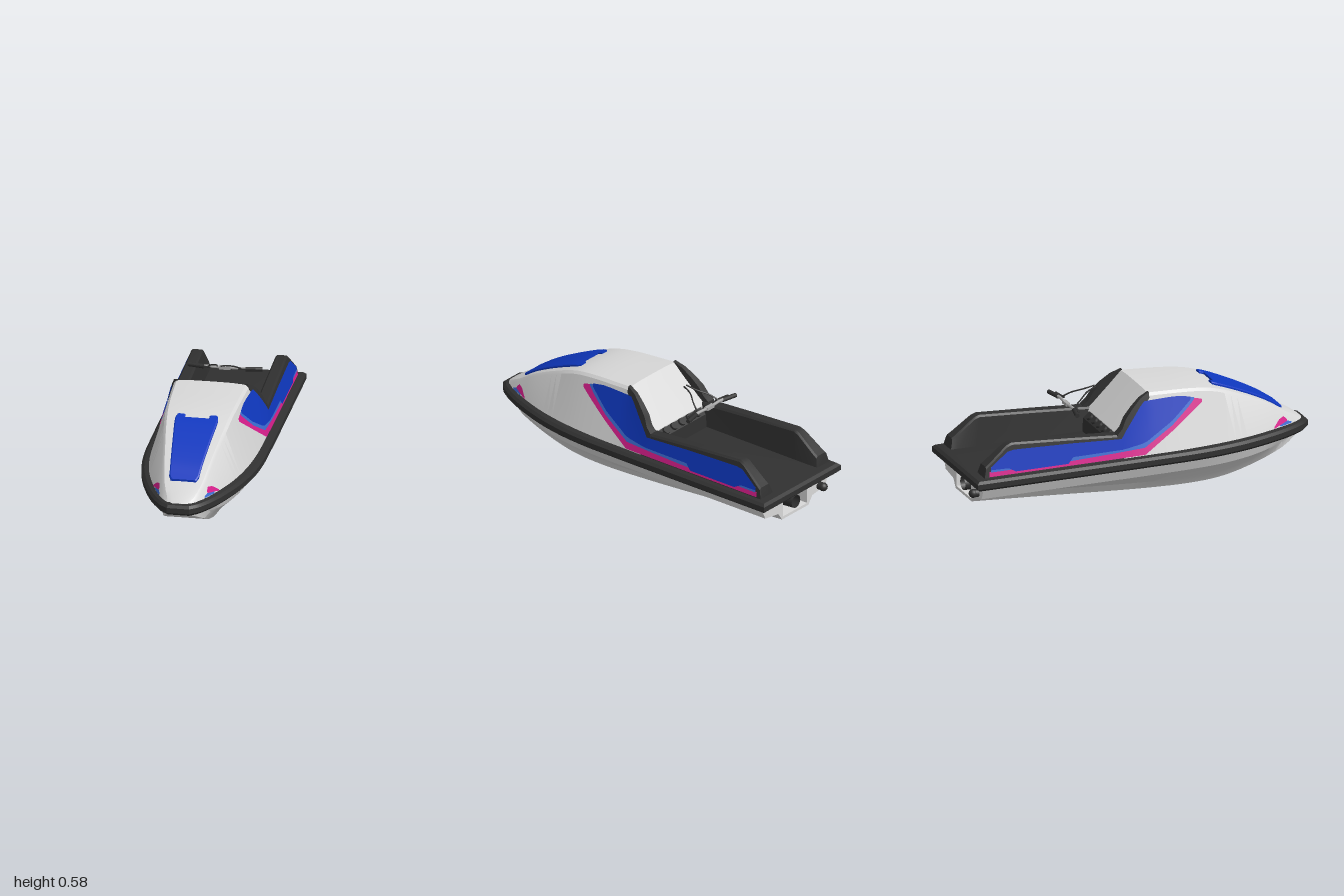
import * as THREE from 'three';
import { toCreasedNormals } from 'three/addons/utils/BufferGeometryUtils.js';

const paint = (name, color) => {
  const m = new THREE.MeshStandardMaterial({ color, side: THREE.DoubleSide });
  m.name = name;
  return m;
};

// Smooth interpolation through [position, value] pairs
function curve(table) {
  const slope = (i) => {
    const a = table[Math.max(i - 1, 0)], b = table[Math.min(i + 1, table.length - 1)];
    return (b[1] - a[1]) / (b[0] - a[0]);
  };
  return (t) => {
    if (t <= table[0][0]) return table[0][1];
    if (t >= table[table.length - 1][0]) return table[table.length - 1][1];
    let i = 0;
    while (t > table[i + 1][0]) i++;
    const [a, va] = table[i], [b, vb] = table[i + 1], h = b - a, u = (t - a) / h;
    return va * (1 + 2 * u) * (1 - u) ** 2 + vb * u * u * (3 - 2 * u)
      + h * (slope(i) * u * (1 - u) ** 2 + slope(i + 1) * u * u * (u - 1));
  };
}
// Straight interpolation through rows of numbers
function rowAt(rows, f) {
  const i = Math.min(Math.floor(f), rows.length - 2);
  return rows[i].map((v, k) => THREE.MathUtils.lerp(v, rows[i + 1][k], f - i));
}
const range = (a, b, n) => Array.from({ length: n + 1 }, (_, i) => a + (b - a) * i / n);

// Skin between rings of points, optionally closed and capped
function loft(rings, { closed = true, caps = [true, true], crease = 0.45 } = {}) {
  const n = rings[0].length, pos = rings.flat(2), idx = [];
  for (let r = 0; r < rings.length - 1; r++)
    for (let i = 0; i < (closed ? n : n - 1); i++) {
      const a = r * n + i, b = r * n + (i + 1) % n;
      idx.push(a, b, b + n, a, b + n, a + n);
    }
  [0, rings.length - 1].forEach((r, end) => {
    if (!closed || !caps[end]) return;
    const centre = pos.length / 3;
    pos.push(...[0, 1, 2].map((k) => rings[r].reduce((s, p) => s + p[k], 0) / n));
    for (let i = 0; i < n; i++) {
      const a = r * n + i, b = r * n + (i + 1) % n;
      idx.push(...(end ? [centre, a, b] : [centre, b, a]));
    }
  });
  const g = new THREE.BufferGeometry();
  g.setAttribute('position', new THREE.Float32BufferAttribute(pos, 3));
  g.setIndex(idx);
  return toCreasedNormals(g, crease);
}
// Full section from a half profile that runs from the right edge to the middle
const mirrorRing = (half, z) => [
  ...half.map(([x, y]) => [x, y, z]),
  ...half.filter(([x]) => x > 0).reverse().map(([x, y]) => [-x, y, z]),
];

// Main lines of the craft, all along z
const railHalf = curve([[-0.99, 0.32], [0, 0.322], [0.2, 0.32], [0.4, 0.305], [0.6, 0.265], [0.8, 0.195], [0.9, 0.145], [0.96, 0.105], [1, 0.06]]);
const hoodBase = curve([[0, 0.29], [0.2, 0.288], [0.4, 0.272], [0.6, 0.235], [0.8, 0.168], [0.9, 0.122], [0.97, 0.08]]);
const hoodEdge = curve([[0.03, 0.2], [0.3, 0.188], [0.45, 0.175], [0.6, 0.155], [0.85, 0.113], [0.97, 0.07]]);
const hoodCurve = curve([[0.03, 0.583], [0.1, 0.58], [0.3, 0.567], [0.43, 0.543], [0.6, 0.475], [0.75, 0.4], [0.845, 0.338], [0.92, 0.295], [0.97, 0.262]]);
const keel = curve([[-0.94, 0.075], [-0.5, 0.047], [0, 0.014], [0.3, 0.005], [0.5, 0.02], [0.7, 0.075], [0.85, 0.14], [0.96, 0.198]]);
const chine = curve([[-0.94, 0.135], [0.3, 0.135], [0.5, 0.137], [0.7, 0.15], [0.85, 0.177], [0.96, 0.2]]);
const hoodTop = (z) => (z > 0.03 ? hoodCurve(z) : 0.583 - (0.03 - z) * 1.15);
const hoodShoulder = (z) => Math.max(0.245, hoodTop(z) - 0.02);
function sideX(y, z) {
  if (z > 0.03) return hoodBase(z) + (hoodEdge(z) - hoodBase(z)) * (y - 0.24) / (hoodShoulder(z) - 0.24);
  return 0.29 - THREE.MathUtils.lerp(0.279, 0.18, Math.min(1, (0.03 - z) / 0.19)) * (y - 0.24);
}

export function createModel() {
  const white = paint('pale grey shell', 0xd8d8d8), black = paint('black rubber', 0x303030);
  const blue = paint('blue', 0x0f38c0), pink = paint('pink', 0xd81e8c);
  const sky = paint('light blue', 0x3c6cd0), steel = paint('steel', 0xa8a8a8);
  const craft = new THREE.Group();
  craft.name = 'waterCraft';
  const add = (name, geometry, material, x = 0, y = 0, z = 0) => {
    const m = new THREE.Mesh(geometry, material);
    m.name = name;
    m.position.set(x, y, z);
    craft.add(m);
    return m;
  };

  // Bumper rail and deck floor: stacked outlines
  const zs = [...range(-0.99, 0.2, 4), ...range(0.25, 0.95, 14), 0.97, 0.985, 1];
  const outline = [...zs.map((z) => [railHalf(z), z]), ...zs.slice().reverse().map((z) => [-railHalf(z), z])];
  const layers = [[0.05, 0.195], [0.015, 0.202], [0, 0.216], [0, 0.244], [0.015, 0.257], [0.045, 0.265]];
  add('bumperRail', loft(layers.map(([d, y]) => outline.map(([x, z]) => [x * (1 - d / 0.325), y, z * (1 - d)]))), black);

  // Lower hull with two chines and a flat keel
  const hullHalf = (z) => {
    const top = railHalf(z) - 0.038, c1 = top * 0.885, k = keel(z);
    const c2 = Math.min(0.142, c1 * 0.94), y2 = Math.min(k + 0.045, (k + chine(z)) / 2 + 0.02);
    return [[top, 0.205], [c1, chine(z)], [c2, Math.min(y2, chine(z))], [Math.min(0.11, c2 * 0.95), k]];
  };
  const hullZ = [...range(-0.94, 0.2, 10), ...range(0.25, 0.96, 16)];
  add('hull', loft(hullZ.map((z) => mirrorRing(hullHalf(z), z)), { caps: [false, true], crease: 0.3 }), white);

  // Transom with the recessed jet bay
  const transom = new THREE.Shape(mirrorRing(hullHalf(-0.94), 0).map(([x, y]) => new THREE.Vector2(x, y)));
  const bay = [[-0.1, 0.09], [0.1, 0.09], [0.1, 0.19], [-0.1, 0.19]];
  transom.holes.push(new THREE.Path(bay.map(([x, y]) => new THREE.Vector2(x, y))));
  add('transom', new THREE.ShapeGeometry(transom), white, 0, 0, -0.94);
  add('jetBay', loft([-0.94, -0.8].map((z) => bay.map(([x, y]) => [x, y, z])), { caps: [false, true] }), white);
  const nozzle = new THREE.CylinderGeometry(0.045, 0.036, 0.14, 20, 1, true).rotateX(Math.PI / 2);
  add('jetNozzle', nozzle, black, 0, 0.14, -0.875);
  add('jetImpeller', new THREE.CylinderGeometry(0.038, 0.038, 0.02, 20).rotateX(Math.PI / 2), black, 0, 0.14, -0.87);
  add('exhaustOutlet', new THREE.CylinderGeometry(0.022, 0.022, 0.03, 16).rotateX(Math.PI / 2), black, -0.2, 0.155, -0.95);
  add('exhaustFlap', new THREE.SphereGeometry(0.024, 16, 10), black, -0.2, 0.155, -0.968);

  // Hood, running back into the sloping rear panel
  const hoodZ = [...range(-0.15, 0.03, 6), ...range(0.06, 0.97, 24)];
  add('hood', loft(hoodZ.map((z) => {
    const s = hoodShoulder(z), c = sideX(s, z), t = hoodTop(z);
    return mirrorRing([[sideX(0.24, z), 0.24], [c, s], [c - 0.014, t - 0.006], [c * 0.55, t - 0.001], [0, t]], z);
  })), white);

  // Raised hatch with two hinge tabs
  const hatchHalf = curve([[0.43, 0.108], [0.46, 0.115], [0.6, 0.102], [0.8, 0.081], [0.83, 0.078], [0.845, 0.068]]);
  const hatch = (name, z0, z1, n, left, right) => add(name, loft(range(z0, z1, n).map((z) => {
    const a = left(z), b = right(z), y = hoodTop(z);
    return [[a, y - 0.012, z], [a, y + 0.006, z], [a + 0.006, y + 0.011, z], [b - 0.006, y + 0.011, z], [b, y + 0.006, z], [b, y - 0.012, z]];
  })), blue);
  hatch('hatch', 0.455, 0.845, 16, (z) => -hatchHalf(z), hatchHalf);
  hatch('hatchTabLeft', 0.43, 0.456, 2, () => 0.065, hatchHalf);
  hatch('hatchTabRight', 0.43, 0.456, 2, (z) => -hatchHalf(z), () => -0.065);

  // Parts found on both sides
  const trimTop = [[0.035, 0.584], [-0.02, 0.558], [-0.07, 0.515], [-0.115, 0.468], [-0.14, 0.42], [-0.17, 0.392]];
  const gunwaleTop = [[-0.12, 0.385], [-0.17, 0.39], [-0.45, 0.41], [-0.77, 0.43], [-0.8, 0.418], [-0.9, 0.338], [-0.925, 0.32], [-0.94, 0.262]];
  const decals = [ // columns of z, lower y, upper y
    ['pinkStripe', pink, 0.004, [[0.335, 0.49, 0.505], [0.29, 0.46, 0.517], [0.15, 0.37, 0.402], [-0.02, 0.268, 0.31], [-0.45, 0.268, 0.296], [-0.91, 0.268, 0.296]]],
    ['lightBlueEdge', sky, 0.005, [[0.29, 0.51, 0.52], [0.25, 0.475, 0.525], [0.15, 0.398, 0.43], [-0.02, 0.305, 0.35], [-0.45, 0.292, 0.32], [-0.9, 0.292, 0.32]]],
    ['bluePanel', blue, 0.006, [[0.27, 0.513, 0.527], [0.2, 0.458, 0.54], [0.15, 0.42, 0.542], [0, 0.338, 0.542], [-0.03, 0.328, 0.515], [-0.12, 0.316, 0.41],
      [-0.15, 0.313, 0.37], [-0.43, 0.312, 0.385], [-0.46, 0.28, 0.386], [-0.76, 0.28, 0.396], [-0.8, 0.302, 0.39], [-0.9, 0.304, 0.318]]],
    ['nosePinkFlash', pink, 0.005, [[0.85, 0.284, 0.294], [0.83, 0.28, 0.312], [0.8, 0.275, 0.305], [0.76, 0.266, 0.274]]],
    ['noseBlueFlash', sky, 0.004, [[0.88, 0.267, 0.274], [0.84, 0.267, 0.288], [0.8, 0.267, 0.277]]],
  ];
  for (const [side, s] of [['Left', 1], ['Right', -1]]) {
    // Black edging beside the rear panel
    add('cowlTrim' + side, loft(trimTop.map(([z, y]) => {
      const low = Math.min(hoodTop(z), y) - 0.03, w = 0.016 + 0.03 * Math.min(1, (0.035 - z) / 0.2);
      return [[s * (sideX(low, z) + 0.003), low, z], [s * (sideX(y, z) + 0.002), y, z], [s * (sideX(y, z) - w), y, z], [s * (sideX(y, z) - w), low, z]];
    })), black);
    // Raised side of the standing tray
    add('gunwale' + side, loft(gunwaleTop.map(([z, y]) => [
      [s * sideX(0.25, z), 0.25, z], [s * sideX(y - 0.01, z), y - 0.01, z], [s * (sideX(y, z) - 0.008), y, z],
      [s * 0.205, y, z], [s * 0.195, y - 0.01, z], [s * 0.18, 0.25, z]])), black);
    // Thin painted panels following the flank
    for (const [name, material, lift, rows] of decals) {
      const grid = range(0, rows.length - 1, (rows.length - 1) * 5).map((f) => {
        const [z, lo, hi] = rowAt(rows, f);
        return range(lo, hi, 4).map((y) => [s * (sideX(y, z) + lift), y, z]);
      });
      add(name + side, loft(grid, { closed: false }), material);
    }
    // Grip, lever and control cable
    const grip = add('handGrip' + side, new THREE.CylinderGeometry(0.012, 0.012, 0.09, 12).rotateZ(Math.PI / 2), black, s * 0.155, 0.507, -0.364);
    grip.rotation.y = s * 0.2;
    const lever = add('lever' + side, new THREE.BoxGeometry(0.09, 0.006, 0.01), black, s * 0.12, 0.512, -0.342);
    lever.rotation.y = s * 0.15;
    const cable = new THREE.CatmullRomCurve3([[0.09, 0.51, -0.35], [0.065, 0.54, -0.3], [0.025, 0.565, -0.245], [0.01, 0.582, -0.19]]
      .map(([x, y, z]) => new THREE.Vector3(s * x, y, z)));
    add('cable' + side, new THREE.TubeGeometry(cable, 16, 0.004, 6), black);
  }

  // Handlebar
  const bar = new THREE.CatmullRomCurve3([[-0.19, 0.505, -0.372], [-0.1, 0.51, -0.355], [0, 0.508, -0.357], [0.1, 0.51, -0.355], [0.19, 0.505, -0.372]]
    .map((p) => new THREE.Vector3(...p)));
  add('handlebar', new THREE.TubeGeometry(bar, 24, 0.008, 8), steel);
  add('handlebarClamp', new THREE.BoxGeometry(0.06, 0.018, 0.022), steel, 0, 0.508, -0.356);

  // Ledge below the rear panel with a row of round pads
  add('ledge', loft([-0.18, 0.18].map((x) => [[x, 0.26, -0.12], [x, 0.375, -0.12], [x, 0.375, -0.145], [x, 0.34, -0.185], [x, 0.26, -0.19]])), black);
  for (const x of range(-0.13, 0.13, 4)) {
    const pad = add('roundPad', new THREE.CylinderGeometry(0.02, 0.022, 0.016, 16), black, x, 0.361, -0.168);
    pad.rotation.x = -0.72;
  }
  return craft;
}
